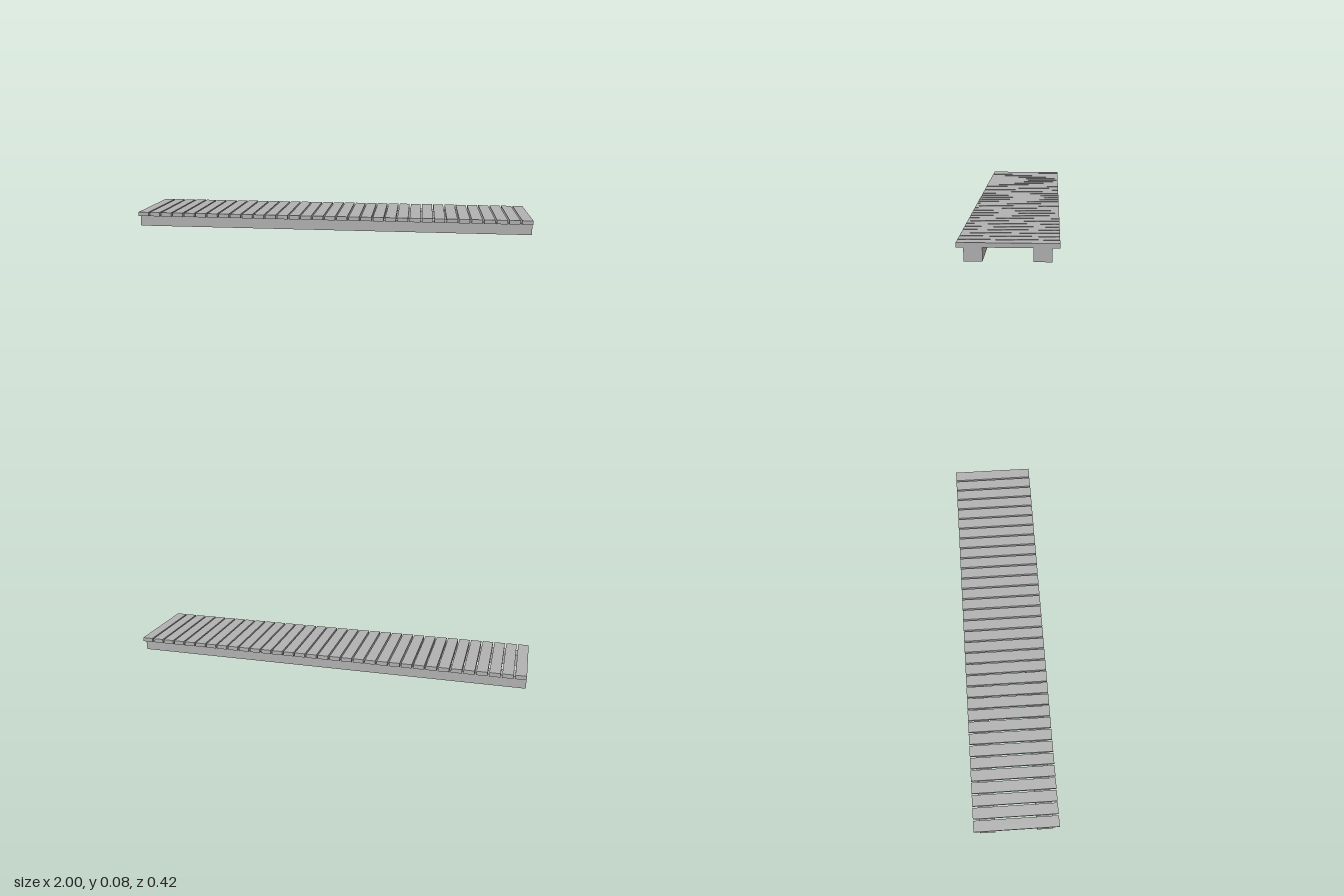
import * as THREE from 'three';

export function createModel() {
  const model = new THREE.Group();
  model.name = 'boardwalk';
  const wood = new THREE.MeshStandardMaterial({ color: 0xb2b2b2 });
  wood.name = 'grey wood';

  const length = 2;
  const beamHeight = 0.057;

  // Two long bearers under the deck
  const beamGeometry = new THREE.BoxGeometry(length, beamHeight, 0.076);
  for (const side of [1, -1]) {
    const beam = new THREE.Mesh(beamGeometry, wood);
    beam.name = side > 0 ? 'frontBeam' : 'backBeam';
    beam.position.set(0, beamHeight / 2, side * 0.14);
    model.add(beam);
  }

  // Evenly spaced planks laid across the bearers
  const deck = new THREE.Group();
  deck.name = 'deck';
  const count = 33;
  const plankWidth = 0.053;
  const plankHeight = 0.02;
  const pitch = (length - plankWidth) / (count - 1);
  const plankGeometry = new THREE.BoxGeometry(plankWidth, plankHeight, 0.416);
  for (let i = 0; i < count; i++) {
    const plank = new THREE.Mesh(plankGeometry, wood);
    plank.name = `plank${i + 1}`;
    plank.position.set((i - (count - 1) / 2) * pitch, beamHeight + plankHeight / 2, 0);
    deck.add(plank);
  }
  model.add(deck);

  return model;
}
